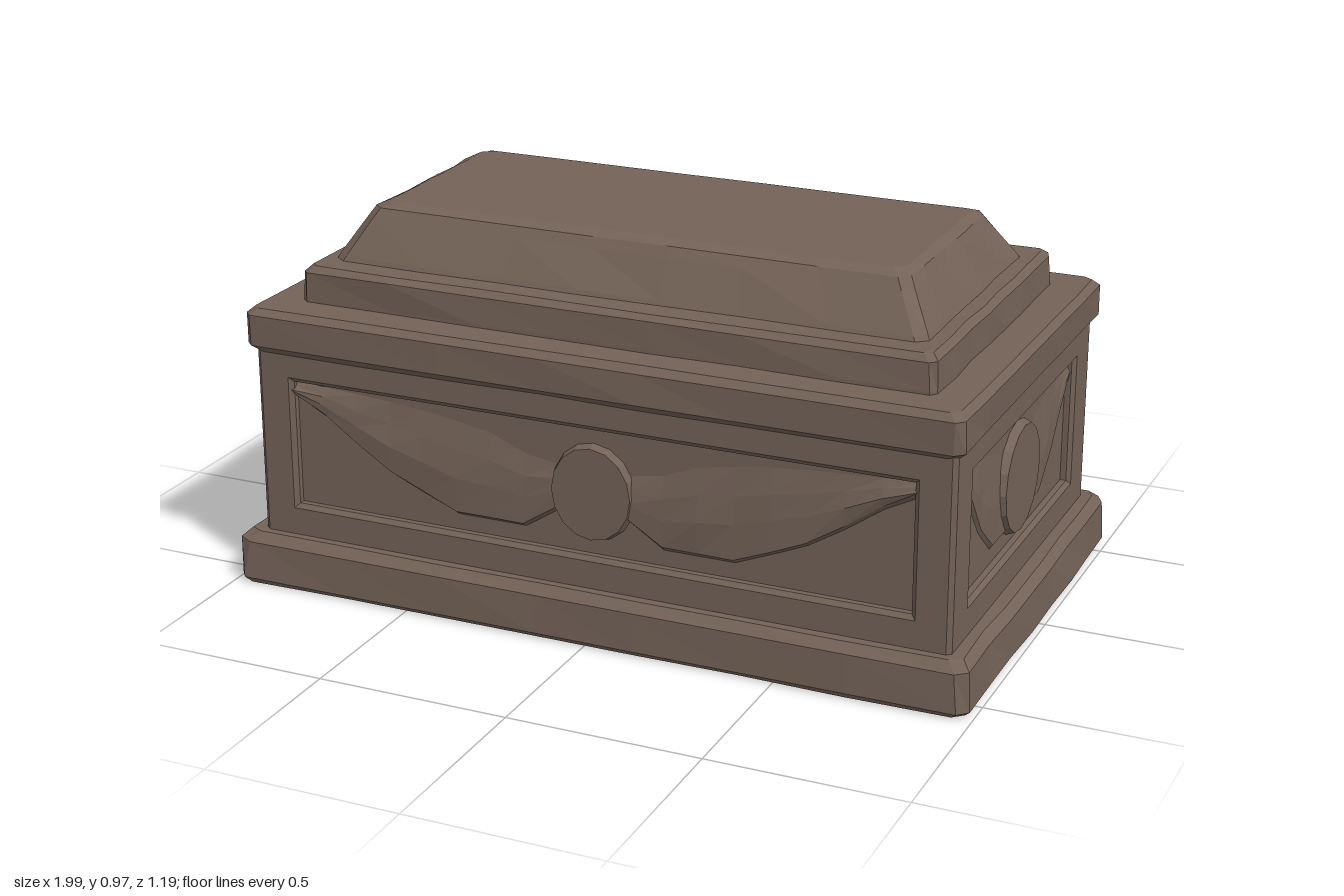
import * as THREE from 'three';

// Repeatable wear offset in -1..1
const wear = (a, b) => {
  const s = Math.sin(a * 127.1 + b * 311.7) * 43758.5453;
  return (s - Math.floor(s)) * 2 - 1;
};

// Outline of a rectangle with clipped corners, each long edge subdivided
function outline(hx, hz, clip, steps) {
  const corners = [
    [hx - clip, hz], [hx, hz - clip], [hx, -hz + clip], [hx - clip, -hz],
    [-hx + clip, -hz], [-hx, -hz + clip], [-hx, hz - clip], [-hx + clip, hz],
  ];
  const pts = [];
  corners.forEach((p, i) => {
    const q = corners[(i + 1) % 8];
    const n = i % 2 ? steps : 1;
    for (let k = 0; k < n; k++) pts.push([p[0] + (q[0] - p[0]) * k / n, p[1] + (q[1] - p[1]) * k / n]);
  });
  return pts;
}

// Worn slab lofted through levels of [y, halfWidth, halfDepth], capped at both ends
function slab(levels, clip, jitter, seed) {
  const pos = [], idx = [];
  let n = 0;
  levels.forEach(([y, hx, hz], r) => {
    const ring = outline(hx, hz, clip, 7);
    n = ring.length;
    ring.forEach(([x, z], i) => {
      const w = jitter * wear(i + seed * 40, 3 + (r >> 1));
      const edge = r > 0 && r < levels.length - 1 ? 1 : 0;
      pos.push(x + Math.sign(x) * w, y + w * 0.5 * edge, z + Math.sign(z) * w);
    });
  });
  for (let r = 0; r < levels.length - 1; r++) {
    for (let i = 0; i < n; i++) {
      const a = r * n + i, b = r * n + (i + 1) % n;
      idx.push(a, b, a + n, b, b + n, a + n);
    }
  }
  const last = levels.length - 1, bottom = pos.length / 3, top = bottom + 1;
  pos.push(0, levels[0][0], 0, 0, levels[last][0], 0);
  for (let i = 0; i < n; i++) {
    const j = (i + 1) % n;
    idx.push(bottom, j, i, top, last * n + i, last * n + j);
  }
  const g = new THREE.BufferGeometry();
  g.setAttribute('position', new THREE.Float32BufferAttribute(pos, 3));
  g.setIndex(idx);
  g.computeVertexNormals();
  return g;
}

// Rectangular frame around a sunken panel, facing +z with its face at z = 0
function frame(halfWidth, panelHalf) {
  const s = new THREE.Shape();
  const e = halfWidth - 0.012;
  s.moveTo(-e, 0.12); s.lineTo(e, 0.12); s.lineTo(e, 0.65); s.lineTo(-e, 0.65); s.closePath();
  const h = new THREE.Path();
  h.moveTo(-panelHalf, 0.21); h.lineTo(-panelHalf, 0.565);
  h.lineTo(panelHalf, 0.565); h.lineTo(panelHalf, 0.21); h.closePath();
  s.holes.push(h);
  const g = new THREE.ExtrudeGeometry(s, {
    depth: 0.02, bevelEnabled: true, bevelThickness: 0.01, bevelSize: 0.012, bevelSegments: 1,
  });
  return g.translate(0, 0, -0.03);
}

// Height of a curve given as [u, y] points
function along(points, u) {
  for (let i = 1; i < points.length; i++) {
    const [u0, y0] = points[i - 1], [u1, y1] = points[i];
    if (u <= u1) return y0 + (y1 - y0) * (u - u0) / (u1 - u0);
  }
  return points[points.length - 1][1];
}

// Carved drapery between the panel corners and the medallion:
// grid rows follow the hem and rim, so the folds run cleanly along them
const HEM = [[0, 0.36], [0.15, 0.32], [0.22, 0.27], [0.45, 0.27], [0.7, 0.36], [0.92, 0.49], [1, 0.52]];
const RIM = [[0, 0.43], [0.2, 0.45], [0.35, 0.5], [0.6, 0.53], [1, 0.55]];
function drapery(panelHalf, height, seed) {
  const g = new THREE.PlaneGeometry(panelHalf * 2, 1, 18, 6);
  const p = g.attributes.position;
  const relief = [0, 0, 0.6, 1, 0.85, 0, 0];
  for (let i = 0; i < p.count; i++) {
    const row = Math.floor(i / 19);
    const u = Math.abs(p.getX(i)) / panelHalf;
    const low = along(HEM, u), high = along(RIM, u);
    const rows = [0.565, high, high * 0.7 + low * 0.3, high * 0.4 + low * 0.6, low + 0.006, low - 0.006, 0.21];
    p.setY(i, rows[row]);
    p.setZ(i, -0.026 + relief[row] * height * (1 + 0.25 * wear(i, seed)));
  }
  g.computeVertexNormals();
  return g;
}

export function createModel() {
  const stone = new THREE.MeshStandardMaterial({ color: 0x736257, flatShading: true });
  stone.name = 'weathered brown stone';
  const model = new THREE.Group();
  model.name = 'stoneTomb';
  const add = (name, geometry, parent = model) => {
    const m = new THREE.Mesh(geometry, stone);
    m.name = name;
    parent.add(m);
  };

  // Plinth, cornice and stepped lid
  add('plinth', slab([
    [0, 0.975, 0.58], [0.015, 0.99, 0.592], [0.115, 0.982, 0.588], [0.138, 0.96, 0.565],
  ], 0.025, 0.005, 1));
  add('cornice', slab([
    [0.625, 0.925, 0.54], [0.645, 0.948, 0.562], [0.725, 0.948, 0.562], [0.742, 0.93, 0.545],
  ], 0.02, 0.004, 2));
  add('lidStep', slab([
    [0.735, 0.845, 0.458], [0.75, 0.845, 0.458], [0.82, 0.842, 0.456], [0.835, 0.825, 0.44],
  ], 0.015, 0.004, 3));
  add('lidTop', slab([
    [0.83, 0.79, 0.378], [0.845, 0.782, 0.37], [0.935, 0.73, 0.312],
    [0.96, 0.715, 0.295], [0.972, 0.69, 0.265],
  ], 0.025, 0.004, 4));

  // Chest core behind the framed panels
  add('chestCore', new THREE.BoxGeometry(1.8, 0.53, 1.02).translate(0, 0.385, 0));

  // Four framed sides: long ones front and back, short ones left and right
  const sides = [
    ['front', 0, 0.54, 0.93, 0.84, 0.115, 0.13, 0.018],
    ['left', Math.PI / 2, 0.93, 0.535, 0.425, 0.15, 0.15, 0.01],
    ['back', Math.PI, 0.54, 0.93, 0.84, 0.115, 0.13, 0.018],
    ['right', -Math.PI / 2, 0.93, 0.535, 0.425, 0.15, 0.15, 0.01],
  ];
  sides.forEach(([name, turn, out, half, panel, rx, ry, depth], i) => {
    const side = new THREE.Group();
    side.name = name + 'Side';
    side.rotation.y = turn;
    side.position.set(Math.sin(turn) * out, 0, Math.cos(turn) * out);
    model.add(side);
    add(name + 'Frame', frame(half, panel), side);
    add(name + 'Drapery', drapery(panel, depth, i + 5), side);
    // Raised oval medallion with a bevelled rim
    const disc = new THREE.CylinderGeometry(0.92, 1, 0.03, 16).rotateX(Math.PI / 2);
    disc.scale(rx, ry, 1).translate(0, 0.385, -0.019);
    add(name + 'Medallion', disc, side);
  });
  return model;
}
